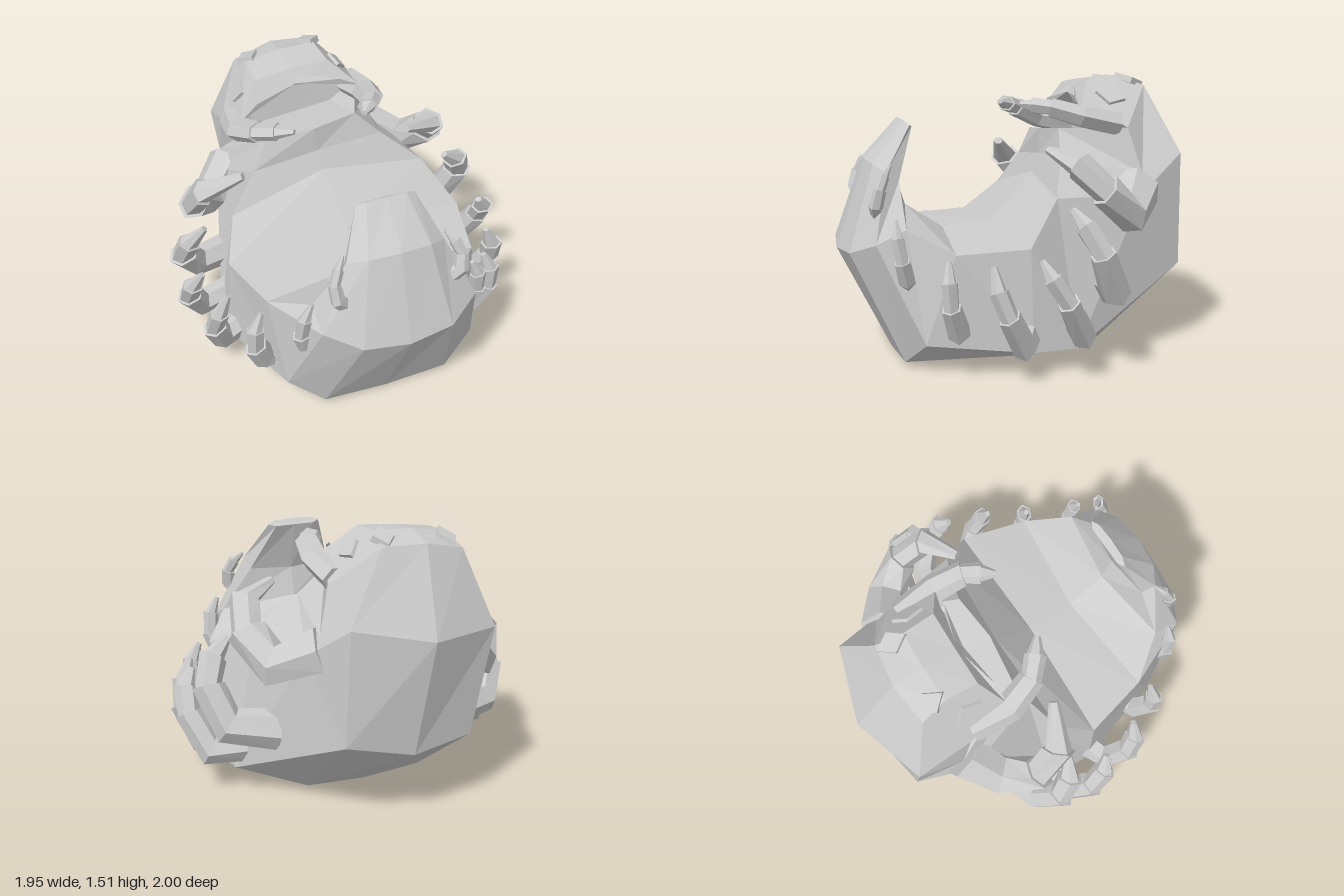
import * as THREE from 'three';

const material = new THREE.MeshStandardMaterial({ color: 0xcccccc, flatShading: true, side: THREE.DoubleSide });
const V = (x, y, z) => new THREE.Vector3(x, y, z);

// The upper body leans and rolls slightly to its right.
function lean(p) {
  const s = 1 - THREE.MathUtils.smoothstep(p.z, -0.3, 0.3);
  const roll = 0.11 * p.x * s * Math.min(1, Math.max(0, p.y / 0.7));
  return V(p.x - 0.1 * s * Math.max(0, p.y - 0.5) / 0.75, p.y + roll, p.z);
}

// Joins rings of equal point count into a closed, faceted skin.
function loft(rings, name) {
  const pos = [];
  const tri = (...ps) => ps.forEach(p => pos.push(p.x, p.y, p.z));
  const n = rings[0].length;
  for (let i = 0; i + 1 < rings.length; i++) {
    for (let j = 0; j < n; j++) {
      const k = (j + 1) % n;
      const a = rings[i][j], b = rings[i][k], c = rings[i + 1][j], d = rings[i + 1][k];
      tri(a, c, b);
      tri(b, c, d);
    }
  }
  const cap = (ring, flip) => {
    const mid = ring.reduce((m, p) => m.add(p), V(0, 0, 0)).divideScalar(n);
    ring.forEach((p, j) => {
      const q = ring[(j + 1) % n];
      if (flip) tri(mid, q, p); else tri(mid, p, q);
    });
  };
  cap(rings[0], false);
  cap(rings[rings.length - 1], true);
  const geo = new THREE.BufferGeometry();
  geo.setAttribute('position', new THREE.Float32BufferAttribute(pos, 3));
  geo.computeVertexNormals();
  const mesh = new THREE.Mesh(geo, material);
  mesh.name = name;
  return mesh;
}

// Curled body, tail tip to hood. Each station: outer z,y / inner z,y /
// half width and depth of back plate / flank x,y,z / inner corner x,y,z.
const stations = [
  [0.64, 1.28, 0.60, 1.25, 0.11, 0.1, [0.16, 1.26, 0.62], [0.12, 1.25, 0.60]],
  [0.84, 1.07, 0.67, 0.97, 0.17, 0.1, [0.27, 1.03, 0.77], [0.25, 0.98, 0.70]],
  [1.00, 0.59, 0.62, 0.81, 0.25, 0.08, [0.43, 0.68, 0.86], [0.43, 0.75, 0.70]],
  [0.71, 0.01, 0.41, 0.67, 0.36, 0.02, [0.55, 0.16, 0.63], [0.60, 0.64, 0.48]],
  [0.10, 0.00, 0.13, 0.69, 0.42, 0.03, [0.71, 0.12, 0.10], [0.69, 0.65, 0.11]],
  [-0.34, 0.00, -0.12, 0.95, 0.34, 0.02, [0.69, 0.11, -0.15], [0.57, 0.85, -0.08]],
  [-0.92, 0.38, -0.17, 1.05, 0.36, 0.08, [0.50, 0.82, -0.59], [0.38, 1.04, -0.17]],
  [-1.00, 1.00, -0.18, 1.19, 0.41, 0.16, [0.45, 0.93, -0.62], [0.26, 1.19, -0.21]],
  [-0.77, 1.44, -0.45, 1.15, 0.23, 0.10, [0.41, 1.18, -0.56], [0.20, 1.15, -0.45]],
  [-0.60, 1.48, -0.47, 1.31, 0.20, 0.08, [0.38, 1.23, -0.46], [0.23, 1.30, -0.47]],
  [-0.41, 1.46, -0.40, 1.44, 0.21, 0.30, [0.35, 1.29, -0.31], [0.24, 1.36, -0.32]],
];
function bodyRing([oz, oy, iz, iy, wo, depth, [fx, fy, fz], [cx, cy, cz]]) {
  const back = s => V(s * wo, oy + (iy - oy) * depth, oz + (iz - oz) * depth);
  return [V(0, oy, oz), back(1), V(fx, fy, fz), V(cx, cy, cz),
    V(0, iy, iz), V(-cx, cy, cz), V(-fx, fy, fz), back(-1)].map(lean);
}

// Jointed limb: tapering six-sided segments, stepped near the claw.
function limb(points, radius, side, name) {
  const p = points.map(([x, y, z]) => lean(V(x * side, y, z)));
  const last = p.length - 1;
  const bend = p[last].clone().sub(p[1]).cross(p[1].clone().sub(p[0])).normalize();
  const rings = [];
  p.forEach((c, i) => {
    const t = p[Math.min(i + 1, last)].clone().sub(p[Math.max(i - 1, 0)]).normalize();
    const u = bend.clone().addScaledVector(t, -bend.dot(t)).normalize();
    const v = u.clone().cross(t);
    const ring = r => Array.from({ length: 6 }, (_, k) => {
      const a = (k + 0.5) * Math.PI / 3;
      return c.clone().addScaledVector(u, Math.cos(a) * r * 0.8).addScaledVector(v, Math.sin(a) * r);
    });
    const r = i === last ? radius * 0.2 : radius * (1 - 0.45 * i / last);
    rings.push(ring(r));
    if (i > 1 && i < last) rings.push(ring(r * 0.8));
  });
  return loft(rings, name);
}

const limbs = [
  ['mandible', 0.09, [[0.34, 1.20, -0.52], [0.37, 1.25, -0.30], [0.33, 1.31, -0.14], [0.26, 1.33, -0.06], [0.20, 1.34, 0.0]]],
  ['foreArm', 0.14, [[0.42, 0.86, -0.60], [0.61, 0.74, -0.46], [0.71, 0.87, -0.30], [0.68, 1.01, -0.17], [0.48, 1.10, -0.07]]],
  ['firstLeg', 0.115, [[0.52, 0.38, -0.38], [0.78, 0.40, -0.31], [0.86, 0.58, -0.22], [0.82, 0.71, -0.15], [0.73, 0.80, -0.11]]],
  ['secondLeg', 0.10, [[0.57, 0.24, -0.17], [0.82, 0.22, -0.12], [0.90, 0.40, -0.02], [0.89, 0.53, 0.06], [0.84, 0.62, 0.10]]],
  ['thirdLeg', 0.095, [[0.58, 0.22, 0.09], [0.78, 0.19, 0.18], [0.84, 0.36, 0.27], [0.82, 0.49, 0.32], [0.77, 0.61, 0.33]]],
  ['fourthLeg', 0.085, [[0.52, 0.24, 0.44], [0.63, 0.25, 0.48], [0.69, 0.39, 0.53], [0.69, 0.52, 0.54], [0.65, 0.62, 0.53]]],
  ['fifthLeg', 0.07, [[0.40, 0.46, 0.69], [0.46, 0.50, 0.71], [0.50, 0.60, 0.74], [0.49, 0.72, 0.76], [0.45, 0.81, 0.76]]],
  ['tailLeg', 0.052, [[0.30, 0.83, 0.82], [0.34, 0.87, 0.84], [0.35, 0.95, 0.82], [0.32, 1.02, 0.79], [0.28, 1.07, 0.75]]],
];

export function createModel() {
  const model = new THREE.Group();
  model.name = 'curledLarva';
  const body = loft(stations.map(bodyRing), 'body');
  model.add(body);

  for (const side of [1, -1]) {
    const label = side > 0 ? 'left' : 'right';
    for (const [name, r, pts] of limbs) {
      model.add(limb(pts, r, side, label + name[0].toUpperCase() + name.slice(1)));
    }
    // Diamond eye plates set onto the crown of the head.
    for (const [x, z, turn] of [[0.18, -0.66, -0.1], [0.29, -0.51, -0.35]]) {
      const ray = new THREE.Raycaster(V(x * side - 0.115, 3, z), V(0, -1, 0));
      const hit = ray.intersectObject(body)[0];
      const eye = new THREE.Mesh(new THREE.CylinderGeometry(0.06, 0.065, 0.035, 4), material);
      eye.geometry.scale(1, 1, 1.4);
      eye.geometry.rotateY(turn * side);
      eye.position.copy(hit.point);
      const normal = hit.face.normal.clone();
      if (normal.y < 0) normal.negate();
      eye.quaternion.setFromUnitVectors(V(0, 1, 0), normal);
      eye.name = label + 'Eye';
      model.add(eye);
    }
  }
  return model;
}
